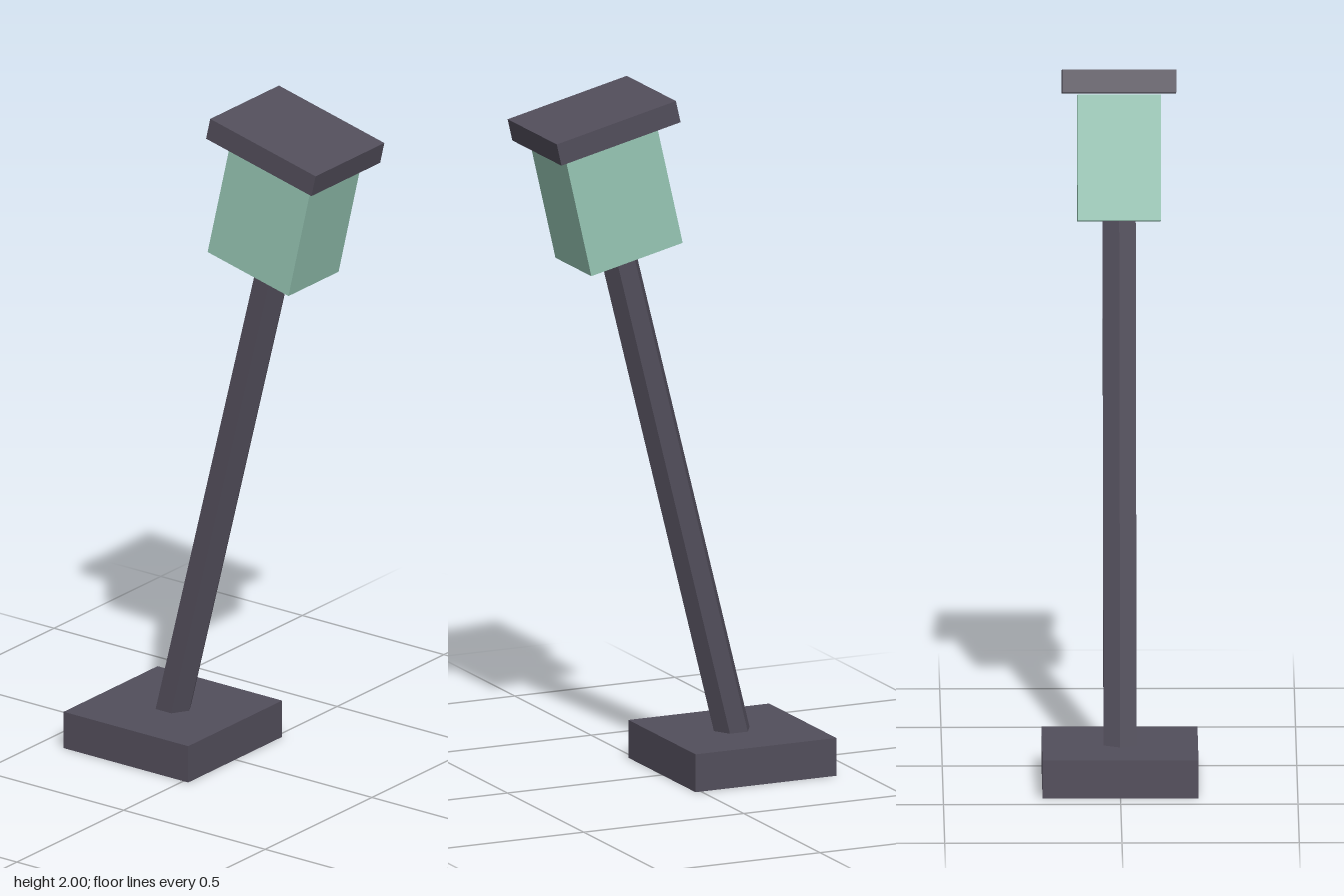
import * as THREE from 'three';

const TILT = THREE.MathUtils.degToRad(13);

export function createModel() {
  const model = new THREE.Group();
  model.name = 'leaningLampPost';

  const darkMetal = new THREE.MeshStandardMaterial({ color: 0x524e5b });
  darkMetal.name = 'darkMetal';
  darkMetal.flatShading = true;
  const paleGlass = new THREE.MeshStandardMaterial({ color: 0x96c6b4 });
  paleGlass.name = 'paleGreenGlass';
  paleGlass.flatShading = true;

  const addBox = (name, material, size, position, tilt = 0) => {
    const mesh = new THREE.Mesh(new THREE.BoxGeometry(...size), material);
    mesh.name = name;
    mesh.position.set(...position);
    mesh.rotation.z = -tilt;
    model.add(mesh);
  };

  // Square foot
  addBox('base', darkMetal, [0.44, 0.11, 0.44], [-0.203, 0.055, 0]);

  // Six-sided leaning pole, sunk slightly into the base and lantern
  const bottom = new THREE.Vector3(-0.216, 0.05, 0);
  const top = new THREE.Vector3(0.162, 1.562, 0);
  const axis = top.clone().sub(bottom);
  const poleGeometry = new THREE.CylinderGeometry(0.054, 0.054, axis.length(), 6);
  poleGeometry.rotateY(Math.PI / 6); // corners point left and right
  const pole = new THREE.Mesh(poleGeometry, darkMetal);
  pole.name = 'pole';
  pole.position.copy(bottom).add(top).multiplyScalar(0.5);
  pole.rotation.z = -Math.atan2(axis.x, axis.y);
  model.add(pole);

  // Lantern body and its overhanging roof
  addBox('lantern', paleGlass, [0.293, 0.356, 0.235], [0.191, 1.714, 0], TILT);
  addBox('lanternRoof', darkMetal, [0.382, 0.065, 0.322], [0.229, 1.926, 0], TILT);

  return model;
}
